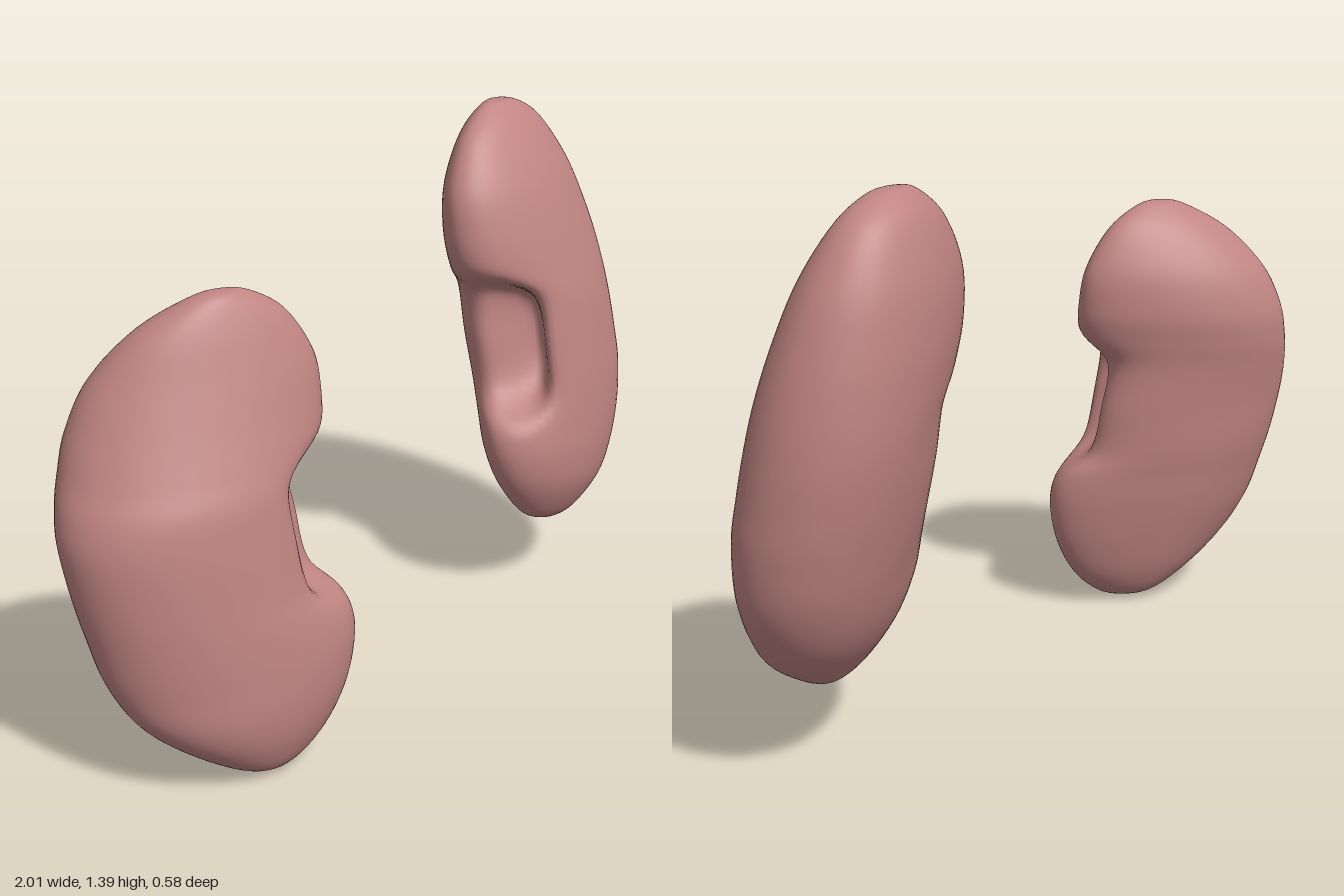
import * as THREE from 'three';
import { mergeVertices } from 'three/addons/utils/BufferGeometryUtils.js';

const RINGS = 84, SIDES = 64;

// Stations run from upper to lower pole: inner x, y, z, outer x, y, z,
// half thickness, depth of the inner notch, depth of the hilum pit
const leftStations = [
  [0.62, 1.39, -0.15, 0.62, 1.39, -0.15, 0, 0, 0],
  [0.55, 1.383, -0.14, 0.69, 1.383, -0.16, 0.038, 0, 0],
  [0.44, 1.31, -0.11, 0.79, 1.33, -0.18, 0.088, 0, 0],
  [0.365, 1.19, -0.08, 0.875, 1.21, -0.175, 0.14, 0, 0],
  [0.352, 1.07, -0.06, 0.93, 1.07, -0.16, 0.17, 0, 0],
  [0.368, 0.965, -0.04, 0.965, 0.94, -0.145, 0.185, 0.01, 0.01],
  [0.385, 0.9, -0.025, 0.985, 0.82, -0.13, 0.192, 0.07, 0.12],
  [0.39, 0.77, -0.01, 0.995, 0.72, -0.11, 0.192, 0.075, 0.145],
  [0.4, 0.64, 0.01, 1.0, 0.62, -0.09, 0.187, 0.07, 0.11],
  [0.408, 0.55, 0.03, 0.985, 0.49, -0.07, 0.175, 0.01, 0.01],
  [0.41, 0.46, 0.045, 0.94, 0.38, -0.045, 0.157, 0, 0],
  [0.445, 0.36, 0.05, 0.88, 0.3, -0.015, 0.125, 0, 0],
  [0.53, 0.255, 0.045, 0.79, 0.235, 0.015, 0.07, 0, 0],
  [0.62, 0.208, 0.035, 0.73, 0.205, 0.025, 0.03, 0, 0],
  [0.68, 0.2, 0.03, 0.68, 0.2, 0.03, 0, 0, 0],
];
const rightStations = [
  [-0.6, 1.175, 0.03, -0.6, 1.175, 0.03, 0, 0, 0],
  [-0.54, 1.168, 0.05, -0.67, 1.163, 0.01, 0.035, 0, 0],
  [-0.45, 1.11, 0.08, -0.78, 1.09, -0.06, 0.085, 0, 0],
  [-0.388, 1.0, 0.11, -0.865, 0.98, -0.125, 0.135, 0, 0],
  [-0.38, 0.89, 0.125, -0.92, 0.87, -0.145, 0.167, 0, 0],
  [-0.392, 0.81, 0.135, -0.955, 0.78, -0.135, 0.182, 0.01, 0.01],
  [-0.392, 0.73, 0.145, -0.983, 0.71, -0.115, 0.19, 0.07, 0.09],
  [-0.38, 0.6, 0.155, -0.997, 0.63, -0.095, 0.19, 0.065, 0.115],
  [-0.375, 0.48, 0.17, -0.985, 0.51, -0.075, 0.188, 0.055, 0.08],
  [-0.368, 0.41, 0.19, -0.965, 0.4, -0.055, 0.182, 0.01, 0.01],
  [-0.362, 0.32, 0.205, -0.94, 0.29, -0.03, 0.172, 0, 0],
  [-0.385, 0.2, 0.2, -0.895, 0.19, 0.015, 0.155, 0, 0],
  [-0.44, 0.09, 0.18, -0.81, 0.105, 0.06, 0.125, 0, 0],
  [-0.52, 0.02, 0.155, -0.69, 0.025, 0.105, 0.075, 0, 0],
  [-0.6, 0, 0.13, -0.6, 0, 0.13, 0, 0, 0],
];

// Smooth interpolation of every station value
function sample(stations, t) {
  const last = stations.length - 1, f = t * last;
  const i = Math.min(Math.floor(f), last - 1), s = f - i;
  const at = k => stations[Math.max(0, Math.min(last, k))];
  return at(i).map((p1, k) => {
    const p0 = at(i - 1)[k], p2 = at(i + 1)[k], p3 = at(i + 2)[k];
    return p1 + 0.5 * s * (p2 - p0 + s * (2 * p0 - 5 * p1 + 4 * p2 - p3 + s * (3 * (p1 - p2) + p3 - p0)));
  });
}

const bell = (x, width) => Math.exp(-((x / width) ** 2));

// Lofts oval rings between the inner and outer edge, pushing in the hilum
function kidneyGeometry(stations, flip) {
  const pos = [], index = [];
  for (let i = 0; i <= RINGS; i++) {
    const [ix, iy, iz, ox, oy, oz, h, notch, pit] = sample(stations, i / RINGS);
    const centre = new THREE.Vector3((ix + ox) / 2, (iy + oy) / 2, (iz + oz) / 2);
    const across = new THREE.Vector3(ox - ix, oy - iy, oz - iz).multiplyScalar(0.5);
    const u = across.clone().normalize();
    const n = new THREE.Vector3(0, 0, 1).addScaledVector(u, -u.z).normalize();
    for (let j = 0; j < SIDES; j++) {
      const a = j / SIDES * Math.PI * 2, c = Math.cos(a), s = Math.sin(a);
      const dent = Math.max(0, notch) * bell(a - Math.PI, 0.75)
        + Math.max(0, pit) * bell(a - Math.PI + 0.35, 0.36);
      // The body is fuller towards the outer edge, most of all at the back
      const fullness = 1 + (s < 0 ? 0.25 : 0.1) * c;
      const p = centre.clone()
        .addScaledVector(across, c)
        .addScaledVector(n, Math.max(0, h) * s * fullness)
        .addScaledVector(u, dent);
      pos.push(p.x, p.y, p.z);
      if (i === RINGS) continue;
      const k = (j + 1) % SIDES;
      const A = i * SIDES + j, B = i * SIDES + k, C = A + SIDES, D = B + SIDES;
      index.push(...(flip ? [A, C, B, B, C, D] : [A, B, C, B, D, C]));
    }
  }
  let g = new THREE.BufferGeometry();
  g.setAttribute('position', new THREE.Float32BufferAttribute(pos, 3));
  g.setIndex(index);
  g = mergeVertices(g, 1e-5);
  g.computeVertexNormals();
  return g;
}

export function createModel() {
  const group = new THREE.Group();
  group.name = 'kidneys';
  const material = new THREE.MeshStandardMaterial({ color: 0xc08583 });
  const add = (name, stations, flip) => {
    const mesh = new THREE.Mesh(kidneyGeometry(stations, flip), material);
    mesh.name = name;
    group.add(mesh);
  };
  add('leftKidney', leftStations, false);
  add('rightKidney', rightStations, true);
  return group;
}
